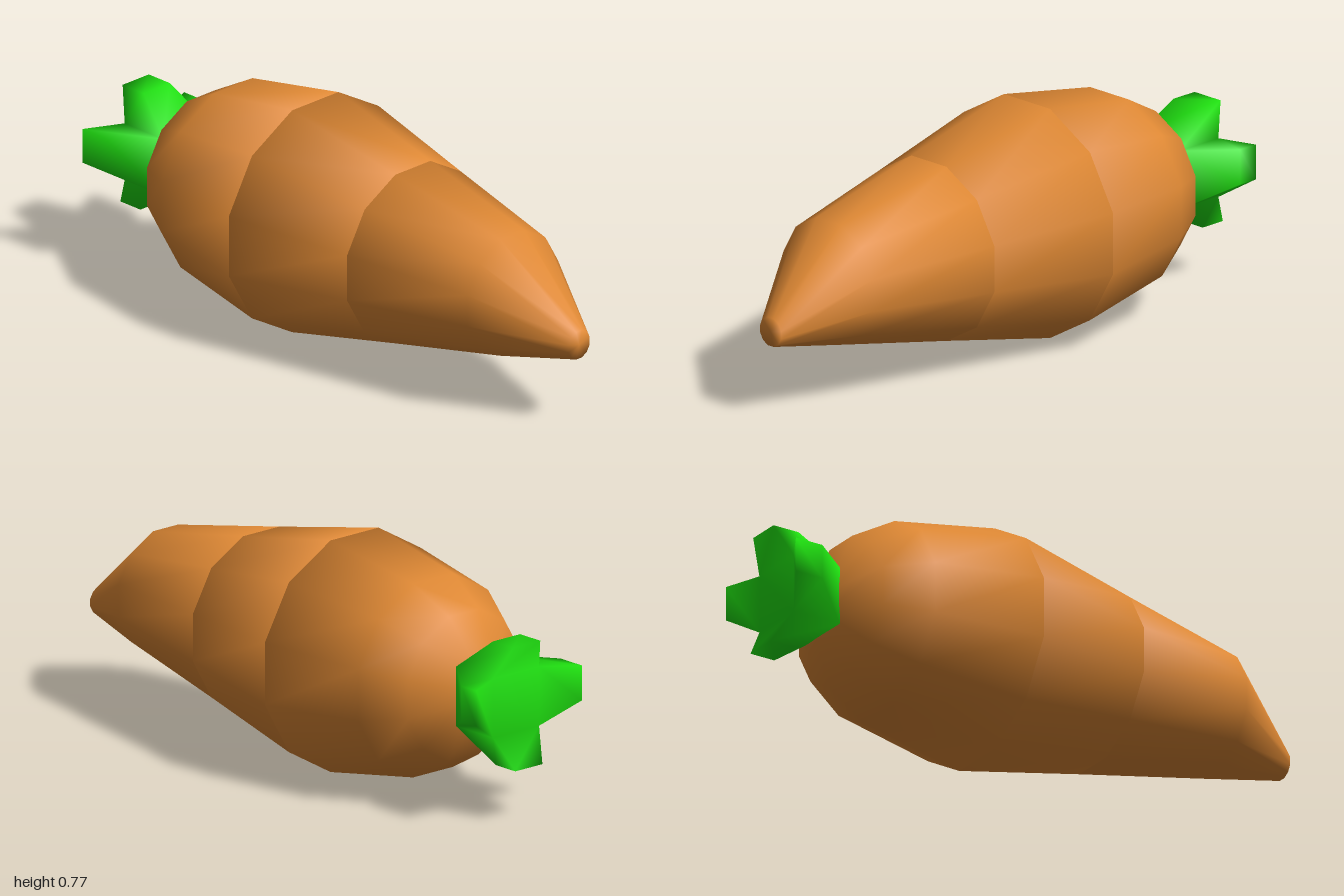
import * as THREE from 'three';
import { mergeVertices } from 'three/addons/utils/BufferGeometryUtils.js';

const CY = 0.383; // height of the long axis
const SIDES = 12;

// Weld equal corners so each part is shaded smoothly
function smooth(geo) {
  geo.deleteAttribute('normal');
  geo.deleteAttribute('uv');
  const welded = mergeVertices(geo, 1e-4);
  welded.computeVertexNormals();
  return welded;
}

// Capped twelve-sided section along x, from [x, half height] pairs
function section(name, profile, material) {
  const pts = profile.map(([x, r]) => new THREE.Vector2(r / Math.cos(Math.PI / SIDES), x));
  pts.unshift(new THREE.Vector2(0, profile[0][0]));
  pts.push(new THREE.Vector2(0, profile[profile.length - 1][0]));
  const geo = new THREE.LatheGeometry(pts, SIDES, Math.PI / SIDES);
  geo.rotateZ(-Math.PI / 2);
  // the point droops down and slightly to the back
  const p = geo.attributes.position;
  for (let i = 0; i < p.count; i++) {
    const t = Math.max(0, (p.getX(i) - 0.72) / 0.28);
    p.setY(i, p.getY(i) - 0.097 * t);
    p.setZ(i, p.getZ(i) - 0.02 * t);
  }
  const mesh = new THREE.Mesh(smooth(geo), material);
  mesh.name = name;
  mesh.position.y = CY;
  return mesh;
}

// Square stalk with four prongs flaring outward and away from the root
function leafTuft(material) {
  const pos = [];
  const quad = (a, b, c, d) => pos.push(...a, ...b, ...c, ...a, ...c, ...d);
  const half = 0.098, baseX = -0.755, forkX = -0.93;
  // near x, far x, reach, sideways shift of each tip: up, front, down, back
  const tips = [
    [-0.885, -0.98, 0.203, 0],
    [-0.9, -1, 0.217, -0.035],
    [-0.9, -0.99, 0.203, 0],
    [-0.91, -0.98, 0.215, 0.035],
  ];
  const fork = [];
  tips.forEach(([near, far, reach, shift], k) => {
    const c = Math.round(Math.cos(k * Math.PI / 2)), s = Math.round(Math.sin(k * Math.PI / 2));
    const at = (x, u, v) => [x, u * c - v * s, u * s + v * c];
    const ring = (x1, x2, u, w, m) => [at(x1, u, m + w), at(x1, u, m - w), at(x2, u, m - w), at(x2, u, m + w)];
    const base = ring(baseX, forkX, half, half, 0);
    const tip = ring(near, far, reach, 0.058, shift);
    for (let i = 0; i < 4; i++) {
      const j = (i + 1) % 4;
      quad(base[i], base[j], tip[j], tip[i]);
    }
    quad(...tip);
    fork.unshift(base[3]);
  });
  quad(...fork); // floor between the prongs
  const geo = new THREE.BufferGeometry();
  geo.setAttribute('position', new THREE.Float32BufferAttribute(pos, 3));
  const mesh = new THREE.Mesh(smooth(geo), material);
  mesh.name = 'leafTuft';
  mesh.position.y = CY;
  return mesh;
}

export function createModel() {
  const orange = new THREE.MeshStandardMaterial({ color: 0xde8834 });
  const green = new THREE.MeshStandardMaterial({ color: 0x1fe010 });
  const model = new THREE.Group();
  model.name = 'carrot';
  model.add(
    section('rootCrown', [[-0.765, 0.1], [-0.685, 0.24], [-0.54, 0.32], [-0.17, 0.383]], orange),
    section('rootMiddle', [[-0.17, 0.383], [0.27, 0.291]], orange),
    section('rootPoint', [[0.27, 0.291], [0.72, 0.2], [1, 0.047]], orange),
    leafTuft(green),
  );
  return model;
}
